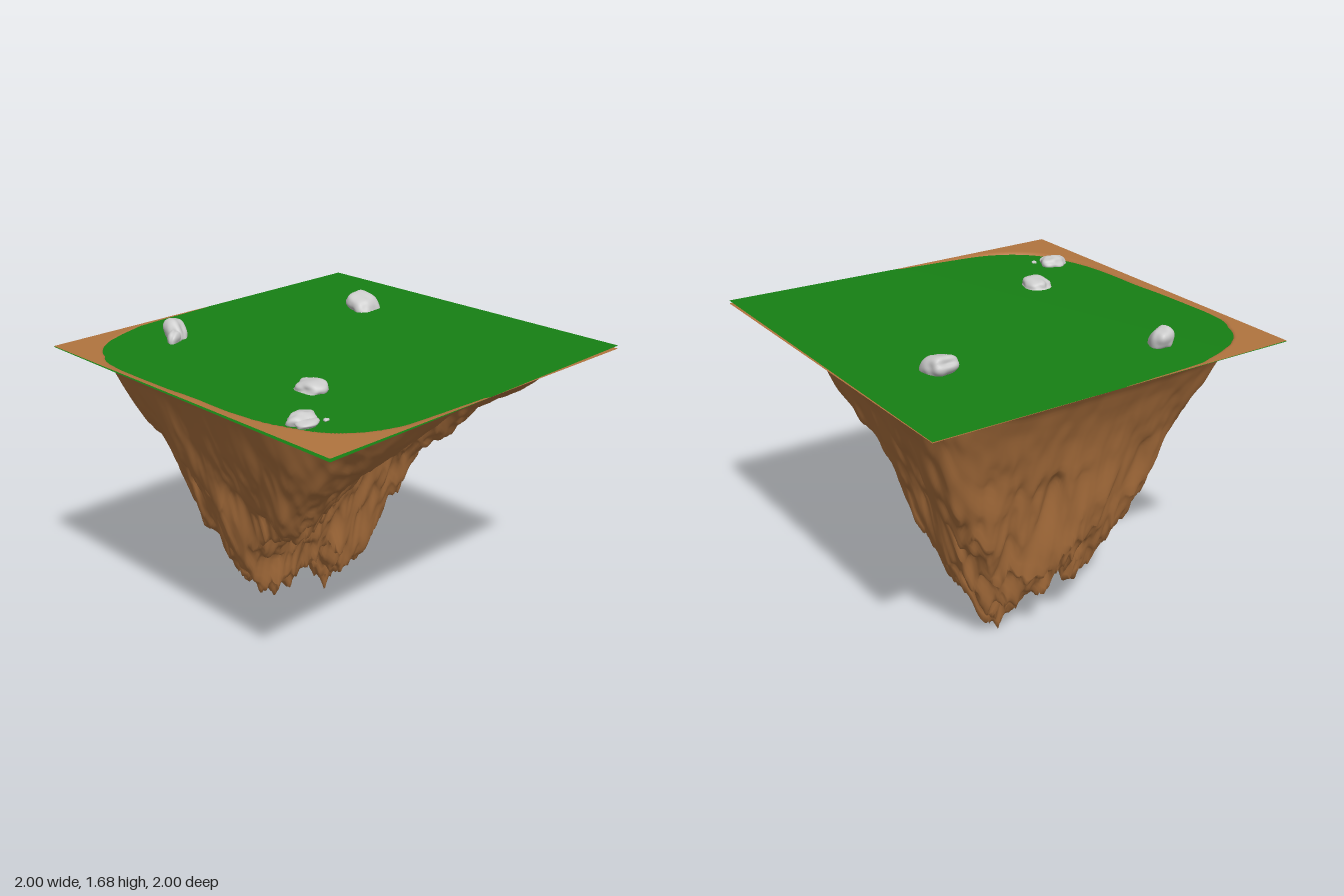
import * as THREE from 'three';
import { mergeVertices } from 'three/addons/utils/BufferGeometryUtils.js';

const TOP = 1.585;
const { lerp, clamp, smoothstep } = THREE.MathUtils;

// Lowest height of the underside along x and along z, as [position, y] knots
const ALONG_X = [
  [-1, 1.585], [-0.95, 1.56], [-0.9, 1.48], [-0.85, 1.37], [-0.8, 1.24], [-0.7, 0.97], [-0.6, 0.56],
  [-0.5, 0.32], [-0.45, 0.21], [-0.4, 0.18], [-0.34, 0], [-0.27, 0.14], [-0.15, 0.2], [-0.1, 0.31],
  [-0.05, 0.48], [0, 0.6], [0.1, 0.75], [0.3, 0.87], [0.5, 1.1], [0.7, 1.27], [0.8, 1.37],
  [0.9, 1.5], [0.95, 1.56], [1, 1.585],
];
const ALONG_Z = [
  [-1, 1.585], [-0.95, 1.56], [-0.9, 1.5], [-0.85, 1.42], [-0.8, 1.31], [-0.7, 1.03], [-0.6, 0.78],
  [-0.5, 0.5], [-0.4, 0.34], [-0.33, 0.17], [-0.22, 0], [-0.1, 0.16], [-0.04, 0.36], [0.03, 0.36],
  [0.1, 0.25], [0.25, 0.2], [0.35, 0.29], [0.48, 0.4], [0.55, 0.6], [0.6, 0.76], [0.7, 1],
  [0.8, 1.24], [0.85, 1.36], [0.9, 1.48], [0.95, 1.56], [1, 1.585],
];

function heightAt(knots, t) {
  t = clamp(t, -1, 1);
  let i = 1;
  while (i < knots.length - 1 && t > knots[i][0]) i++;
  const [a, ya] = knots[i - 1], [b, yb] = knots[i];
  return lerp(ya, yb, (t - a) / (b - a));
}

// Smooth value noise in 2D, from -1 to 1
function hash(i, j) {
  let h = Math.imul(i, 374761393) + Math.imul(j, 668265263) + 977;
  h = Math.imul(h ^ (h >>> 13), 1274126177);
  return ((h ^ (h >>> 16)) >>> 0) / 2147483648 - 1;
}
function noise(x, z) {
  const i = Math.floor(x), j = Math.floor(z);
  const s = (t) => t * t * t * (t * (t * 6 - 15) + 10);
  const u = s(x - i), v = s(z - j);
  return lerp(lerp(hash(i, j), hash(i + 1, j), u), lerp(hash(i, j + 1), hash(i + 1, j + 1), u), v);
}

// Soft round patch centred on (cx, cz)
const patch = (x, z, cx, cz, rx, rz) => Math.exp(-(((x - cx) / rx) ** 2) - ((z - cz) / rz) ** 2);

function islandDepth(x, z) {
  // warp the slopes into gullies, fading out at the rim
  const fade = smoothstep(1 - Math.max(Math.abs(x), Math.abs(z)), 0.02, 0.4);
  const wx = x + fade * (0.03 * noise(x * 6 + 3, z * 6) + 0.014 * noise(x * 15, z * 15 + 7));
  const wz = z + fade * (0.03 * noise(x * 6, z * 6 + 40) + 0.014 * noise(x * 15 + 20, z * 15));
  // superelliptic cross-sections, squarer where a spur runs to the front +x side
  const q = 3.5 + 5 * patch(x, z, 0.35, 0.6, 0.3, 0.35);
  const y = Math.pow(heightAt(ALONG_X, wx) ** q + heightAt(ALONG_Z, wz) ** q, 1 / q);
  let d = Math.max(TOP - y, 0);
  d = (1.02 * d * d) / (d + 0.03);
  // hollow on the +x side, a fuller spur beside it, and slimmer -x corners
  d *= 1 - 0.71 * patch(x, z, 0.52, -0.19, 0.38, 0.34);
  d *= 1 + 0.12 * patch(x, z, 0.42, 0.55, 0.3, 0.2);
  d *= 1 - 0.22 * patch(x, z, -0.65, 0.55, 0.3, 0.3) - 0.1 * patch(x, z, -0.65, -0.6, 0.3, 0.3);
  // ridges and hanging spikes that grow with depth
  const rough = smoothstep(d, 0.05, 1.3);
  const ridge = 0.4 - Math.abs(noise(x * 8 + 11, z * 8 + 5));
  const spike = 0.35 - Math.abs(noise(x * 17 + 2, z * 17 + 31));
  return d + rough * (0.09 * ridge + 0.09 * spike + 0.02 * noise(x * 34, z * 34));
}

function makeIsland(material) {
  const geo = new THREE.PlaneGeometry(2, 2, 180, 180).rotateX(Math.PI / 2);
  const p = geo.attributes.position;
  const depths = [];
  let deepest = 0;
  for (let i = 0; i < p.count; i++) {
    depths.push(islandDepth(p.getX(i), p.getZ(i)));
    deepest = Math.max(deepest, depths[i]);
  }
  depths.forEach((d, i) => p.setY(i, TOP * (1 - d / deepest)));
  geo.computeVertexNormals();
  return new THREE.Mesh(geo, material);
}

// Slightly twisted sheet: its front +x corner dips under the rim
function makeGrass(material) {
  const geo = new THREE.PlaneGeometry(2, 2, 12, 12).rotateX(-Math.PI / 2);
  const p = geo.attributes.position;
  for (let i = 0; i < p.count; i++) {
    const u = (p.getX(i) + 1) / 2, v = (p.getZ(i) + 1) / 2;
    p.setY(i, lerp(lerp(1.589, 1.601, u), lerp(1.581, 1.569, u), v));
  }
  geo.computeVertexNormals();
  return new THREE.Mesh(geo, material);
}

// Lumpy stone with a flat base; lean shears its crown along x, skew slants its plan
function makeRock({ at, size, seed, lean = 0, skew = 0, lump = 0.3 }, material) {
  let geo = new THREE.IcosahedronGeometry(1, 9);
  geo.deleteAttribute('uv');
  geo.deleteAttribute('normal');
  geo = mergeVertices(geo, 1e-4);
  const p = geo.attributes.position;
  const v = new THREE.Vector3();
  for (let i = 0; i < p.count; i++) {
    v.fromBufferAttribute(p, i);
    // slightly squarish stone with soft lumps
    const box = Math.pow(v.x ** 4 + v.y ** 4 + v.z ** 4, -0.06);
    const n = noise(v.x * 1.5 + seed, v.y * 1.5 + seed * 2) + noise(v.z * 1.7 + seed * 3, v.x * 1.5 - v.y);
    v.multiplyScalar(box * (1 + lump * 0.5 * n));
    v.y = Math.max(v.y, -0.35);
    v.x += lean * v.y + skew * v.z;
    p.setXYZ(i, v.x * size[0], v.y * size[1], v.z * size[2]);
  }
  geo.computeVertexNormals();
  const rock = new THREE.Mesh(geo, material);
  rock.position.set(...at);
  return rock;
}

export function createModel() {
  const model = new THREE.Group();
  model.name = 'floatingIsland';
  const earth = new THREE.MeshStandardMaterial({ color: 0xb1743f, side: THREE.DoubleSide });
  const grass = new THREE.MeshStandardMaterial({ color: 0x178014, side: THREE.DoubleSide });
  const stone = new THREE.MeshStandardMaterial({ color: 0xcccccc });

  const island = makeIsland(earth);
  island.name = 'earthUnderside';
  const lawn = makeGrass(grass);
  lawn.name = 'grassTop';
  model.add(island, lawn);

  const rocks = [
    { name: 'backRock', at: [-0.38, 1.605, -0.575], size: [0.078, 0.062, 0.076], seed: 3.3, lean: -0.4 },
    { name: 'rightRock', at: [-0.695, 1.61, 0.46], size: [0.066, 0.066, 0.058], seed: 8.1, lean: -0.3, skew: 0.2 },
    { name: 'rightRockTail', at: [-0.655, 1.59, 0.5], size: [0.034, 0.045, 0.052], seed: 5.6, skew: 0.6 },
    { name: 'leftRock', at: [0.35, 1.585, 0.49], size: [0.088, 0.045, 0.072], seed: 12.4 },
    { name: 'frontRock', at: [0.605, 1.586, 0.785], size: [0.058, 0.038, 0.074], seed: 17.2, lump: 0.25 },
    { name: 'frontRockLobe', at: [0.645, 1.58, 0.8], size: [0.048, 0.024, 0.056], seed: 21.7, lump: 0.25 },
    { name: 'rockChip', at: [0.675, 1.58, 0.71], size: [0.012, 0.008, 0.014], seed: 2.9 },
  ];
  for (const spec of rocks) {
    const rock = makeRock(spec, stone);
    rock.name = spec.name;
    model.add(rock);
  }
  return model;
}
